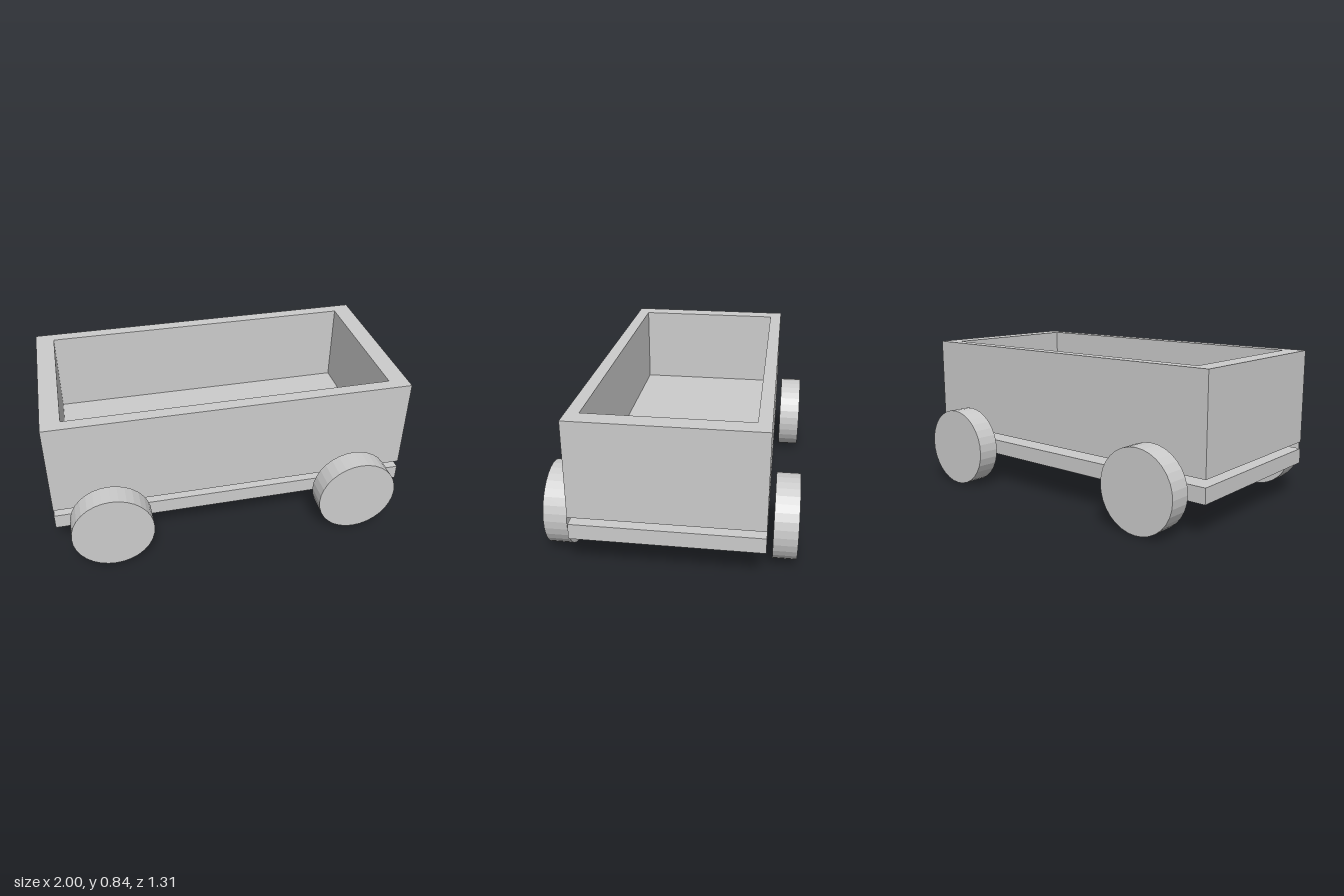
import * as THREE from 'three';

export function createModel() {
  const model = new THREE.Group();
  model.name = 'wagon';
  const material = new THREE.MeshStandardMaterial({ color: 0xcccccc, flatShading: true });

  const add = (name, geometry, x, y, z, parent = model) => {
    const mesh = new THREE.Mesh(geometry, material);
    mesh.name = name;
    mesh.position.set(x, y, z);
    parent.add(mesh);
    return mesh;
  };

  const length = 2, width = 1;

  // Flat chassis board, separated from the tub by a narrow gap
  add('chassis', new THREE.BoxGeometry(length, 0.085, width), 0, 0.2275, 0);

  // Open tub: a rectangular wall ring standing over a thin floor
  const tub = new THREE.Group();
  tub.name = 'tub';
  model.add(tub);
  const bottom = 0.31, top = 0.84, floor = 0.06;
  const innerX = 0.895, innerZ = 0.43;

  const rectangle = (Type, hx, hz) => new Type([
    new THREE.Vector2(-hx, -hz), new THREE.Vector2(hx, -hz),
    new THREE.Vector2(hx, hz), new THREE.Vector2(-hx, hz),
  ]);
  const outline = rectangle(THREE.Shape, length / 2, width / 2);
  outline.holes.push(rectangle(THREE.Path, innerX, innerZ));
  const walls = new THREE.ExtrudeGeometry(outline, { depth: top - bottom, bevelEnabled: false });
  walls.rotateX(-Math.PI / 2);
  add('tubWalls', walls, 0, bottom, 0, tub);
  add('tubFloor', new THREE.BoxGeometry(innerX * 2, floor, innerZ * 2), 0, bottom + floor / 2, 0, tub);

  // Four plain disc wheels set just outside the body
  const radius = 0.225;
  const wheel = new THREE.CylinderGeometry(radius, radius, 0.125, 32);
  wheel.rotateX(Math.PI / 2);
  for (const x of [-1, 1]) {
    for (const z of [-1, 1]) {
      const name = (z > 0 ? 'front' : 'back') + (x > 0 ? 'Left' : 'Right') + 'Wheel';
      add(name, wheel, x * 0.695, radius, z * 0.5925);
    }
  }

  return model;
}
